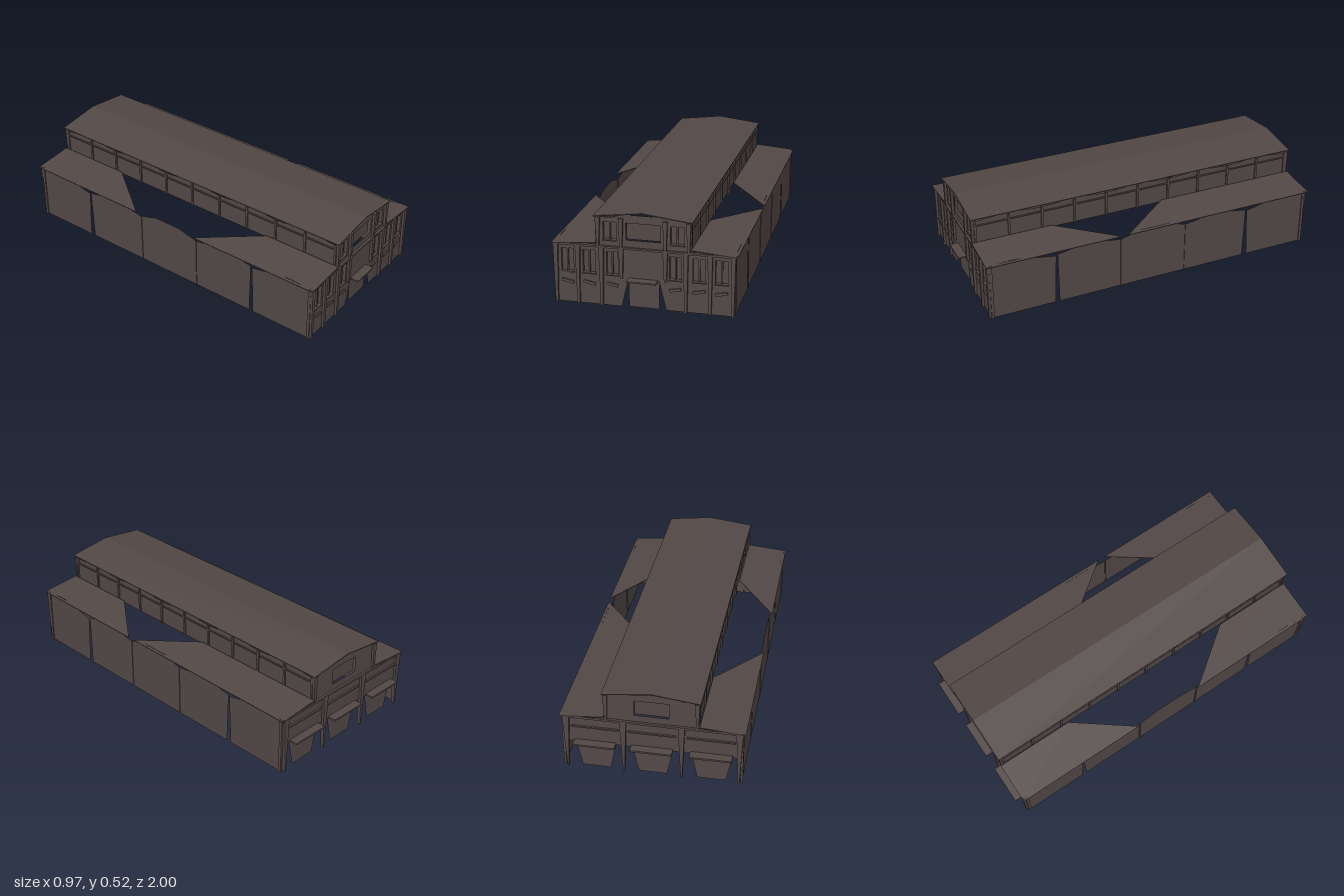
import * as THREE from 'three';

const paint = new THREE.MeshStandardMaterial({ color: 0x524846, side: THREE.DoubleSide, flatShading: true });
paint.name = 'weathered brown';

const polygon = (pts) => new THREE.Shape(pts.map(([x, y]) => new THREE.Vector2(x, y)));
const rect = (x0, x1, y0, y1) => [[x0, y0], [x1, y0], [x1, y1], [x0, y1]];

export function createModel() {
  const model = new THREE.Group();
  model.name = 'warehouse';

  const add = (name, geometry, x = 0, y = 0, z = 0) => {
    const mesh = new THREE.Mesh(geometry, paint);
    mesh.name = name;
    mesh.position.set(x, y, z);
    model.add(mesh);
    return mesh;
  };
  const box = (name, x0, x1, y0, y1, z0, z1) =>
    add(name, new THREE.BoxGeometry(x1 - x0, y1 - y0, z1 - z0), (x0 + x1) / 2, (y0 + y1) / 2, (z0 + z1) / 2);
  // Flat upright wall across x, with rectangular openings
  const wall = (name, pts, z, openings = []) => {
    const shape = polygon(pts);
    openings.forEach((o) => shape.holes.push(polygon(rect(...o))));
    return add(name, new THREE.ShapeGeometry(shape), 0, 0, z);
  };
  // Flat upright wall along z, given as [z, y] points
  const sideWall = (name, pts, x) => {
    const mesh = add(name, new THREE.ShapeGeometry(polygon(pts)), x);
    mesh.rotation.y = -Math.PI / 2;
    return mesh;
  };
  // Upright pier with a narrower foot
  const pier = (name, x, y0, y1, z, width, foot = 0.5) => {
    const g = new THREE.BoxGeometry(width, y1 - y0, 0.02);
    const p = g.attributes.position;
    for (let i = 0; i < p.count; i++) if (p.getY(i) < 0) p.setX(i, p.getX(i) * foot);
    g.computeVertexNormals();
    add(name, g, x, (y0 + y1) / 2, z);
  };
  // Recessed window with jambs, sill and one mullion
  const windowUnit = (x0, x1, y0, y1, z, dir) => {
    wall('windowPane', rect(x0, x1, y0, y1), z - dir * 0.018);
    sideWall('windowJamb', rect(z - 0.018, z, y0, y1), x0);
    sideWall('windowJamb', rect(z - 0.018, z, y0, y1), x1);
    const m = (x0 + x1) / 2;
    box('windowMullion', m - 0.004, m + 0.004, y0, y1, z - 0.014, z - 0.004);
    box('windowSill', x0 - 0.004, x1 + 0.004, y0 - 0.006, y0, z - 0.018, z + 0.006);
  };

  // Front facade: three bays each side of the entrance
  const F = 0.952;
  for (const s of [-1, 1]) {
    const bays = [[0.135, 0.195], [0.255, 0.32], [0.37, 0.435]];
    const holes = bays.map(([a, b]) => [Math.min(s * a, s * b), Math.max(s * a, s * b), 0.17, 0.295]);
    wall('frontWall', [[s * 0.117, 0], [s * 0.47, 0], [s * 0.475, 0.325], [s * 0.08, 0.325], [s * 0.08, 0.155]], F, holes);
    holes.forEach((h) => {
      windowUnit(...h, F, 1);
      // Sloping hood of the panel under each window
      const hood = box('lowerPanelHood', h[0], h[1], 0.11, 0.125, F, F + 0.008);
      hood.rotation.z = s * 0.2;
    });
    [0.115, 0.22, 0.345, 0.462].forEach((x) => pier('frontPier', s * x, x < 0.12 ? 0.16 : 0, 0.325, F + 0.004, 0.026));
  }
  wall('entranceWall', rect(-0.08, 0.08, 0.155, 0.325), F);
  wall('entranceDoor', rect(-0.08, 0.08, 0, 0.155), F - 0.006);
  box('entranceCanopy', -0.08, 0.075, 0.152, 0.16, 0.95, 1);
  box('frontCornice', -0.478, 0.478, 0.317, 0.327, 0.945, 0.965);

  // Rear facade: three loading bays with canopies
  const B = -0.952;
  const doors = [[-0.42, -0.2], [-0.11, 0.11], [0.19, 0.41]];
  wall('rearWall', rect(-0.472, 0.472, 0.16, 0.325), B);
  doors.forEach(([a, b]) => {
    box('loadingCanopy', a, b, 0.162, 0.172, -1, -0.95);
    wall('loadingDoor', [[a + 0.035, 0], [b - 0.035, 0], [b, 0.165], [a, 0.165]], B + 0.008);
    box('rearLintel', a - 0.015, b + 0.015, 0.255, 0.263, B - 0.01, B);
  });
  [-0.455, -0.155, 0.15, 0.45].forEach((x) => pier('rearPier', x, 0, 0.325, B - 0.004, 0.036, 0.2));
  box('rearCornice', -0.478, 0.478, 0.315, 0.327, -0.965, -0.945);

  // Long side walls, five bays with a pointed top edge
  const bayTops = [
    [[0.95, 0.325], [0.8, 0.33], [0.578, 0.29]],
    [[0.57, 0.298], [0.4, 0.325], [0.2, 0.298]],
    [[0.2, 0.298], [0.08, 0.328], [-0.08, 0.328], [-0.19, 0.295]],
    [[-0.19, 0.295], [-0.38, 0.325], [-0.57, 0.295]],
    [[-0.575, 0.29], [-0.75, 0.325], [-0.93, 0.32], [-0.952, 0.3]],
  ];
  const feet = [[0.952, 0.588], [0.565, 0.2], [0.2, -0.19], [-0.19, -0.56], [-0.588, -0.952]];
  for (const s of [-1, 1]) {
    bayTops.forEach((top, i) => sideWall('sideWallBay', [[feet[i][0], 0], ...top, [feet[i][1], 0]], s * 0.469));
    [0.2, -0.19].forEach((z) => box('sideWallJoint', s * 0.469 - 0.004, s * 0.469 + 0.004, 0, 0.297, z - 0.004, z + 0.004));
    [0.945, -0.945].forEach((z) => box('cornerPost', s * 0.469 - 0.006, s * 0.469 + 0.006, 0, 0.327, z - 0.008, z + 0.008));

    // Clerestory wall between the roofs, with shallow framed bays
    const n = 10;
    const tops = [];
    for (let i = 0; i <= n; i++) tops.push([0.95 - 0.19 * i, i % 2 ? 0.48 : 0.468]);
    sideWall('clerestoryWall', [[0.95, 0.33], ...tops, [-0.95, 0.33]], s * 0.243);
    for (let i = 0; i <= n; i++) {
      const z = 0.945 - 0.189 * i;
      box('clerestoryPost', s * 0.243 - 0.008, s * 0.243 + 0.008, 0.33, 0.472, z - 0.006, z + 0.006);
    }
    box('clerestoryRail', s * 0.243 - 0.007, s * 0.243 + 0.007, 0.438, 0.445, -0.95, 0.95);
  }

  // Aisle roofs, each broken open in the middle; given as [x, z] in plan
  const aislePieces = [
    [[-0.485, -0.97], [-0.25, -0.97], [-0.25, -0.525], [-0.485, -0.21]],
    [[-0.485, 0.97], [-0.25, 0.97], [-0.25, 0.515], [-0.485, 0.195]],
    [[0.485, -0.97], [0.25, -0.97], [0.25, -0.145], [0.485, 0.165]],
    [[0.485, 0.97], [0.25, 0.97], [0.25, 0.515], [0.485, 0.205]],
  ];
  aislePieces.forEach((pts) => {
    const g = new THREE.ExtrudeGeometry(polygon(pts), { depth: 0.004, bevelEnabled: false });
    const p = g.attributes.position;
    for (let i = 0; i < p.count; i++) {
      const [x, z, t] = [p.getX(i), p.getY(i), p.getZ(i)];
      p.setXYZ(i, x, 0.345 - (Math.abs(x) - 0.25) * 0.085 - t, z);
    }
    g.computeVertexNormals();
    add('aisleRoof', g);
  });

  // Raised end walls, front and rear
  const gable = [[-0.245, 0.32], [0.245, 0.32], [0.248, 0.483], [0.11, 0.499], [-0.11, 0.499], [-0.16, 0.48], [-0.248, 0.48]];
  const upper = [[-0.21, -0.14, 0.36, 0.455], [0.14, 0.21, 0.36, 0.455]];
  const middle = [-0.09, 0.09, 0.365, 0.455];
  wall('frontGable', gable, F, [...upper, middle]);
  upper.forEach((h) => windowUnit(...h, F, 1));
  wall('frontGablePanel', rect(...middle), F - 0.015);
  wall('rearGable', gable, B, [middle]);
  wall('rearGablePanel', rect(...middle), B + 0.012);
  [-0.236, -0.115, 0.115, 0.236].forEach((x) => pier('frontGablePier', x, 0.32, 0.48, F + 0.004, 0.024));
  [-0.238, 0.238].forEach((x) => pier('rearGablePier', x, 0.32, 0.48, B - 0.004, 0.024));

  // Main pitched roof
  const ridge = [[-0.256, 0.484], [0, 0.514], [0.256, 0.484], [0.256, 0.488], [0, 0.519], [-0.256, 0.488]];
  add('mainRoof', new THREE.ExtrudeGeometry(polygon(ridge), { depth: 1.94, bevelEnabled: false }), 0, 0, -0.97);

  return model;
}
